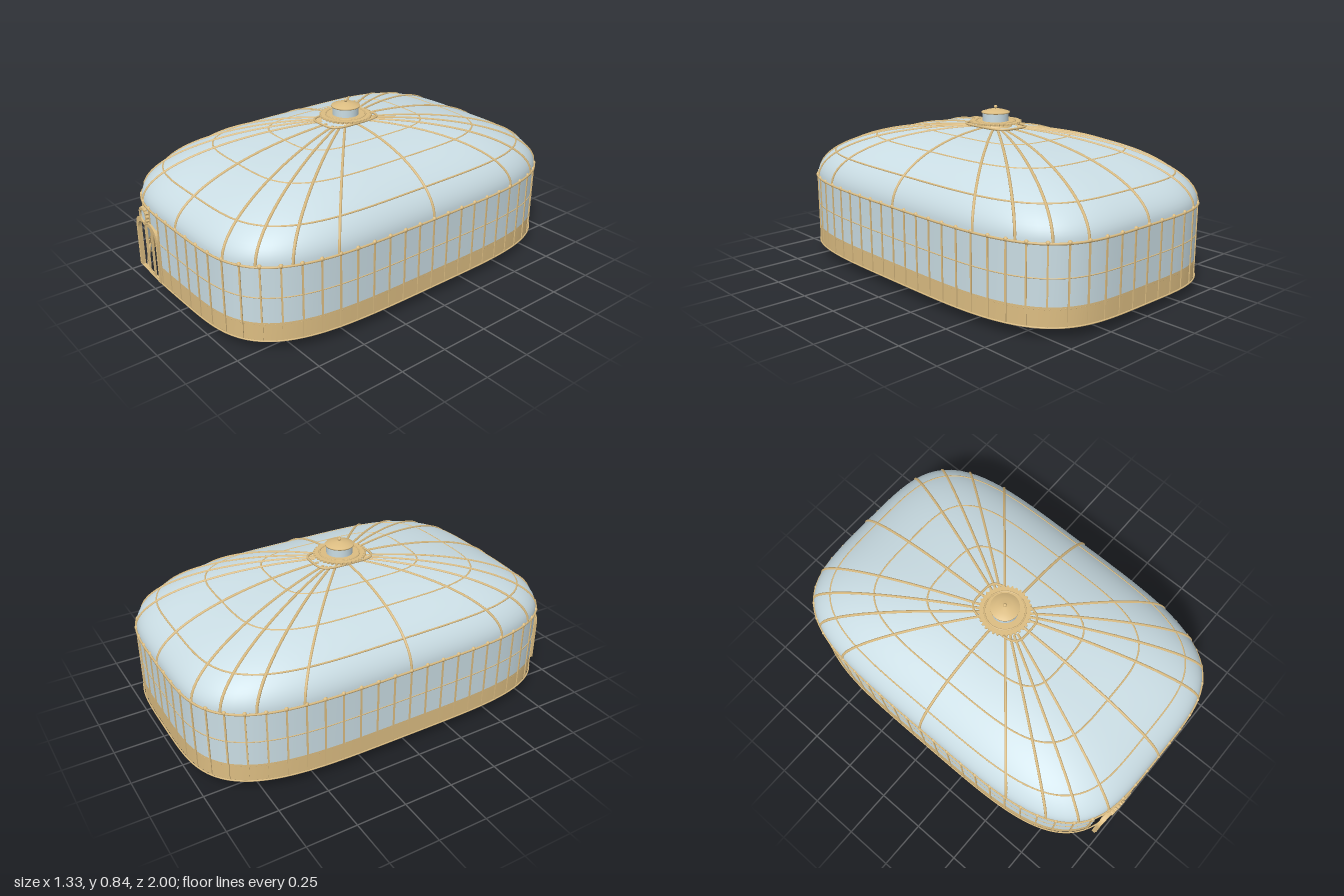
import * as THREE from 'three';
import { mergeGeometries } from 'three/addons/utils/BufferGeometryUtils.js';

const A = 0.654, B = 0.987;              // half width and half length of the plan
const Y0 = 0.06, YB = 0.15, YW = 0.425, DOME = 0.307;
const TAU = Math.PI * 2;

// Rounded-rectangle plan, measured by polar angle
const plan = (t, k = 1, y = 0) => {
  const c = Math.cos(t), s = Math.sin(t);
  const r = k / Math.pow((c / A) ** 4 + (s / B) ** 4, 0.25);
  return new THREE.Vector3(r * c, y, r * s);
};
// Outward direction of the plan as an angle
const facing = (p) => Math.atan2((p.z / B) ** 3 / B, (p.x / A) ** 3 / A);

// Angles spaced evenly along the perimeter, starting at the front centre
function evenAngles(n) {
  const steps = 4000, out = [], len = [0];
  for (let i = 1; i <= steps; i++) {
    const a = plan(Math.PI / 2 + TAU * (i - 1) / steps), b = plan(Math.PI / 2 + TAU * i / steps);
    len.push(len[i - 1] + a.distanceTo(b));
  }
  for (let i = 0, j = 0; i < n; i++) {
    while (len[j] < len[steps] * i / n) j++;
    out.push(Math.PI / 2 + TAU * j / steps);
  }
  return out;
}

// Surface from a rule f(u, v), outward for u round the plan and v rising
function grid(nu, nv, f) {
  const pos = [], idx = [];
  for (let j = 0; j <= nv; j++) for (let i = 0; i <= nu; i++) pos.push(...f(i / nu, j / nv).toArray());
  for (let j = 0; j < nv; j++) for (let i = 0; i < nu; i++) {
    const a = j * (nu + 1) + i, b = a + nu + 1;
    idx.push(a, b, a + 1, a + 1, b, b + 1);
  }
  const g = new THREE.BufferGeometry();
  g.setAttribute('position', new THREE.Float32BufferAttribute(pos, 3));
  g.setIndex(idx);
  g.computeVertexNormals();
  return g;
}
const wallStrip = (t0, t1, y0, y1) =>
  grid(160, 1, (u, v) => plan(t0 + (t1 - t0) * u, 1, y0 + (y1 - y0) * v));

function ringTube(k, y, r, t0 = 0, t1 = TAU) {
  const closed = t1 - t0 >= TAU, n = 120, pts = [];
  for (let i = 0; i < n + (closed ? 0 : 1); i++) pts.push(plan(t0 + (t1 - t0) * i / n, k, y));
  return new THREE.TubeGeometry(new THREE.CatmullRomCurve3(pts, closed), 160, r, 6, closed);
}

// Flat toothed wheel facing +z
function gear(r, hole, teeth, depth, tooth = 0.12) {
  const s = new THREE.Shape();
  for (let i = 0; i < teeth; i++) [[0, 1 - tooth], [0.25, 1], [0.5, 1], [0.75, 1 - tooth]].forEach(([o, k], j) => {
    const a = TAU * (i + o) / teeth;
    s[i + j ? 'lineTo' : 'moveTo'](Math.cos(a) * r * k, Math.sin(a) * r * k);
  });
  s.closePath();
  s.holes.push(new THREE.Path().absarc(0, 0, hole, 0, TAU, true));
  return new THREE.ExtrudeGeometry(s, { depth, bevelEnabled: false, curveSegments: 20 });
}

export function createModel() {
  const root = new THREE.Group();
  const mat = (name, color, side = THREE.FrontSide) => {
    const m = new THREE.MeshStandardMaterial({ color, side });
    m.name = name;
    return m;
  };
  const glass = mat('pale blue glass', 0xcadde4, THREE.DoubleSide);
  const brass = mat('brass', 0xdcbd82, THREE.DoubleSide);
  const stone = mat('warm grey', 0xb9ada2);
  const brown = mat('dark brown', 0x7a6a58);
  const steel = mat('blue grey', 0x9db2bc);
  const add = (name, g, m, x = 0, y = 0, z = 0, parent = root) => {
    const o = new THREE.Mesh(Array.isArray(g) ? mergeGeometries(g) : g, m);
    o.name = name;
    o.position.set(x, y, z);
    parent.add(o);
    return o;
  };

  // Walls, with a doorway cut into the front
  const d0 = Math.atan2(0.975, -0.195), d1 = Math.atan2(0.945, -0.425);
  add('wallGlass', [wallStrip(d1, d0 + TAU, YB, YW), wallStrip(d0, d1, 0.34, YW)], glass);
  add('baseBand', wallStrip(d1, d0 + TAU, Y0, YB), brass);

  // Dome
  add('dome', grid(144, 28, (u, v) => {
    const a = v * Math.PI / 2;
    return plan(TAU * u, Math.max(Math.cos(a), 1e-4), YW + DOME * Math.sin(a));
  }), glass);

  // Dome ribs
  const ribs = [];
  for (let i = 0; i < 20; i++) {
    const a = TAU * i / 20, c = Math.cos(a), s = Math.sin(a);
    const t = Math.atan2(B * Math.sign(s) * Math.sqrt(Math.abs(s)), A * Math.sign(c) * Math.sqrt(Math.abs(c)));
    const pts = [];
    for (let j = 0; j <= 14; j++) {
      const v = j / 14 * 1.45;
      pts.push(plan(t, Math.cos(v), YW + DOME * Math.sin(v)));
    }
    ribs.push(new THREE.TubeGeometry(new THREE.CatmullRomCurve3(pts), 28, 0.007, 6));
  }
  add('domeRibs', ribs, brass);
  add('domeRings', [0.89, 0.65, 0.38].map(k => ringTube(k, YW + DOME * Math.sqrt(1 - k * k) - 0.002, 0.005)), brass);

  // Wall rails, posts and rim bolts
  add('rimRail', ringTube(1.003, YW, 0.006), brass);
  add('baseRail', ringTube(1.005, Y0, 0.004), brass);
  add('middleRail', ringTube(1, 0.275, 0.003, d1, d0 + TAU), brass);
  const posts = [], bolts = [], rivets = [], portRims = [], portPanes = [];
  evenAngles(128).forEach((t, i) => {
    const p = plan(t), f = facing(p), turn = Math.PI / 2 - f;
    const nx = Math.cos(f), nz = Math.sin(f);
    if (i % 2 === 0) {
      posts.push(new THREE.BoxGeometry(0.008, YW - Y0, 0.01).rotateY(turn).translate(p.x, (Y0 + YW) / 2, p.z));
      bolts.push(new THREE.SphereGeometry(0.011, 8, 6).translate(p.x, YW + 0.003, p.z));
    }
    if (p.z > 0 && p.x > -0.45 && p.x < -0.17) return;
    for (const o of [-0.011, 0.011]) rivets.push(new THREE.SphereGeometry(0.004, 5, 4)
      .translate(p.x - nx * 0.003 - nz * o, 0.14, p.z - nz * 0.003 + nx * o));
    // Portholes sit midway between posts, on the inner face
    if (i % 4 === 3) {
      const place = (g) => g.rotateY(turn + Math.PI).translate(p.x - nx * 0.008, 0.102, p.z - nz * 0.008);
      portRims.push(place(new THREE.TorusGeometry(0.02, 0.004, 6, 16)));
      portPanes.push(place(new THREE.SphereGeometry(0.019, 12, 8).scale(1, 1, 0.3)));
    }
  });
  add('wallPosts', posts, brass);
  add('rimBolts', bolts, brass);
  add('innerRivets', rivets, brass);
  add('portholeRims', portRims, brass);
  add('portholePanes', portPanes, steel);

  // Door frame: arch with studs and a gear on top
  const door = new THREE.Group();
  door.name = 'doorFrame';
  door.position.set(-0.31, Y0, 0.968);
  door.rotation.y = -0.07;
  root.add(door);
  const arch = (w, h, r, S) => {
    const s = new S();
    s.moveTo(-w, 0); s.lineTo(w, 0); s.lineTo(w, h - r);
    s.quadraticCurveTo(w, h, w - r * 1.2, h);
    s.lineTo(-w + r * 1.2, h);
    s.quadraticCurveTo(-w, h, -w, h - r);
    s.closePath();
    return s;
  };
  const frame = arch(0.125, 0.288, 0.075, THREE.Shape);
  frame.holes.push(arch(0.105, 0.266, 0.065, THREE.Path));
  add('doorArch', new THREE.ExtrudeGeometry(frame, { depth: 0.02, bevelEnabled: false }), brass, 0, 0, 0, door);
  const studs = [];
  for (const s of [-1, 1]) for (let i = 0; i < 8; i++)
    studs.push(new THREE.SphereGeometry(0.0035, 6, 4).translate(s * 0.115, 0.015 + i * 0.027, 0.02));
  add('doorStuds', studs, brass, 0, 0, 0, door);
  add('doorGear', gear(0.047, 0.031, 14, 0.016), brass, -0.005, 0.315, 0.012, door);
  add('doorGearPane', new THREE.CircleGeometry(0.033, 20), glass, -0.005, 0.315, 0.02, door);

  // Cupola on the crown
  add('crownRing', ringTube(0.155, 0.738, 0.006), brass);
  add('crownPlate', new THREE.CylinderGeometry(0.07, 0.085, 0.02, 32), brass, 0, 0.738, 0);
  add('crownGear', gear(0.132, 0.06, 36, 0.009, 0.07).rotateX(-Math.PI / 2), brass, 0, 0.751, 0);
  add('crownCollar', new THREE.TorusGeometry(0.1, 0.004, 6, 40).rotateX(Math.PI / 2), brass, 0, 0.76, 0);
  add('lanternGlass', new THREE.CylinderGeometry(0.066, 0.066, 0.05, 32), glass, 0, 0.778, 0);
  const cap = [[0, 0.8], [0.072, 0.8], [0.072, 0.806], [0.04, 0.816], [0.01, 0.821], [0, 0.822]];
  add('lanternCap', new THREE.LatheGeometry(cap.map(p => new THREE.Vector2(...p)), 32), brass);
  add('finial', new THREE.SphereGeometry(0.009, 12, 8), brass, 0, 0.83, 0);

  // Round platform with a ray pattern underneath
  add('platform', new THREE.CylinderGeometry(0.355, 0.355, 0.012, 48), stone, 0, 0.067, -0.12);
  const rays = [];
  for (let i = 0; i < 24; i++) {
    const l = i % 2 ? 0.05 : 0.1;
    rays.push(new THREE.BoxGeometry(l, 0.004, 0.006).translate(0.11 + l / 2, 0, 0).rotateY(TAU * i / 24));
  }
  add('platformRays', rays, brown, 0, 0.06, -0.12);

  // Large dial set in a console
  add('dialRim', new THREE.TorusGeometry(0.131, 0.016, 8, 48), brass, 0.14, 0.15, -0.54);
  add('dialFace', new THREE.CylinderGeometry(0.125, 0.125, 0.014, 40).rotateX(Math.PI / 2), glass, 0.14, 0.15, -0.54);
  add('console', new THREE.BoxGeometry(0.36, 0.05, 0.17), brass, 0.14, 0.09, -0.55);

  // Gear train on the side wall
  for (const [r, y, z] of [[0.075, 0.31, -0.06], [0.08, 0.23, 0.07], [0.045, 0.33, 0.05]]) {
    add('wallGear', gear(r, r * 0.62, 16, 0.015).rotateY(Math.PI / 2), brass, -0.637, y, z);
    const spokes = [0, 1, 2].map(i => new THREE.BoxGeometry(0.01, r * 1.4, 0.01).rotateX(i * Math.PI / 3));
    add('gearSpokes', spokes, brass, -0.63, y, z);
  }

  // Hanging chandelier
  add('chandelierStem', new THREE.CylinderGeometry(0.008, 0.008, 0.2, 8), brass, 0, 0.63, 0);
  add('chandelierRing', new THREE.TorusGeometry(0.09, 0.008, 6, 32).rotateX(Math.PI / 2), brass, 0, 0.53, 0);
  const arms = [], bulbs = [];
  for (let i = 0; i < 6; i++) {
    arms.push(new THREE.BoxGeometry(0.09, 0.008, 0.008).translate(0.045, 0, 0).rotateY(TAU * i / 6));
    bulbs.push(new THREE.SphereGeometry(0.015, 10, 8).translate(0.09, -0.012, 0).rotateY(TAU * i / 6));
  }
  add('chandelierArms', arms, brass, 0, 0.53, 0);
  add('chandelierBulbs', bulbs, brass, 0, 0.53, 0);

  // Small furnishings
  for (const [x, z] of [[0.46, 0.32], [0.1, 0.41], [-0.58, 0.37], [-0.38, -0.63], [0.42, -0.4]])
    add('stool', new THREE.BoxGeometry(0.055, 0.012, 0.055), steel, x, 0.075, z);
  add('columnFoot', new THREE.CylinderGeometry(0.03, 0.04, 0.02, 16), brass, -0.47, 0.075, -0.67);
  add('column', new THREE.CylinderGeometry(0.02, 0.02, 0.2, 12), brown, -0.47, 0.18, -0.67);
  add('columnHead', new THREE.SphereGeometry(0.03, 12, 8), brass, -0.47, 0.29, -0.67);
  add('barrel', new THREE.CylinderGeometry(0.035, 0.035, 0.1, 16), brass, -0.14, 0.12, -0.86);
  add('lamp', new THREE.SphereGeometry(0.025, 12, 8), glass, 0.55, 0.09, -0.1);
  return root;
}
